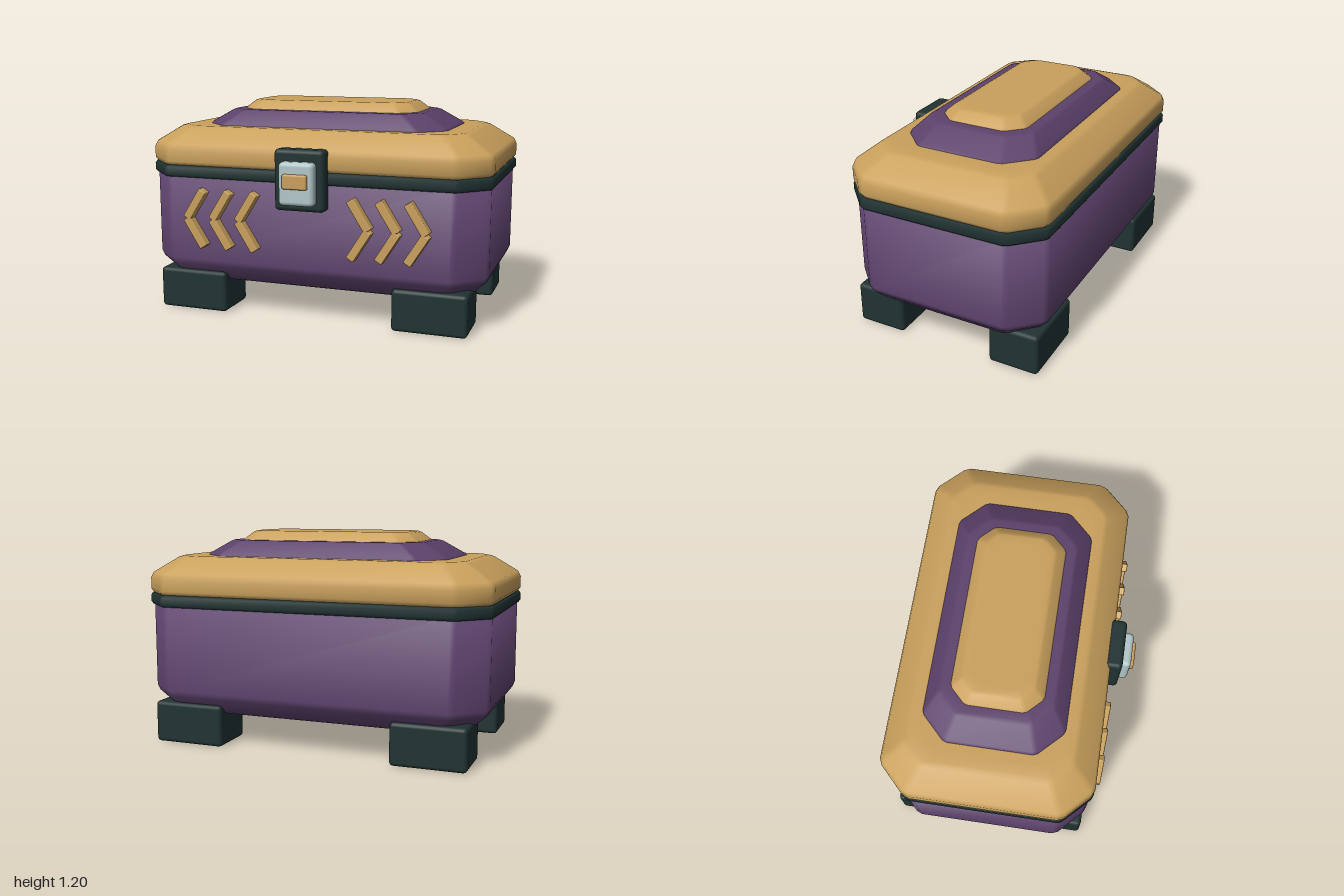
import * as THREE from 'three';
import { RoundedBoxGeometry } from 'three/addons/geometries/RoundedBoxGeometry.js';

const mat = (name, color) => {
  const m = new THREE.MeshStandardMaterial({ color });
  m.name = name;
  return m;
};

// Moves from point p towards q by at most d (and never past 40% of the way)
function towards(p, q, d) {
  const len = Math.hypot(...p.map((v, i) => q[i] - v));
  const t = Math.min(d / len, 0.4);
  return p.map((v, i) => v + (q[i] - v) * t);
}

// Octagonal outline in x/z with softened corners
function octagon(hx, hz, c, r) {
  const p = [
    [hx, c - hz], [hx, hz - c], [hx - c, hz], [c - hx, hz],
    [-hx, hz - c], [-hx, c - hz], [c - hx, -hz], [hx - c, -hz],
  ];
  return p.flatMap((q, i) => [towards(q, p[(i + 7) % 8], r), towards(q, p[(i + 1) % 8], r)]);
}

// Closed loft of octagons; profile rows are [y, insetX, insetZ] from bottom to top
function loft(hx, hz, chamfer, profile, bevel) {
  const rows = profile.flatMap((p, i) =>
    i === 0 || i === profile.length - 1
      ? [p]
      : [towards(p, profile[i - 1], bevel), towards(p, profile[i + 1], bevel)]);
  const pos = [], idx = [], n = 16;
  for (const [y, ix, iz] of rows) {
    const c = chamfer - 0.4 * Math.min(ix, iz);
    for (const [x, z] of octagon(hx - ix, hz - iz, c, bevel)) pos.push(x, y, z);
  }
  const last = (rows.length - 1) * n, bottom = rows.length * n, top = bottom + 1;
  pos.push(0, rows[0][0], 0, 0, rows[rows.length - 1][0], 0);
  for (let k = 0; k < n; k++) {
    const k2 = (k + 1) % n;
    for (let i = 0; i < last; i += n) {
      idx.push(i + k, i + n + k, i + k2, i + k2, i + n + k, i + n + k2);
    }
    idx.push(bottom, k, k2, top, last + k2, last + k);
  }
  const g = new THREE.BufferGeometry();
  g.setAttribute('position', new THREE.Float32BufferAttribute(pos, 3));
  g.setIndex(idx);
  g.computeVertexNormals();
  return g;
}

export function createModel() {
  const purple = mat('purple shell', 0x5c416b);
  const gold = mat('warm gold', 0xc9a05c);
  const dark = mat('dark green metal', 0x203332);
  const silver = mat('pale silver', 0xb2c7ca);

  const model = new THREE.Group();
  model.name = 'chest';
  const add = (parent, name, geometry, material, x = 0, y = 0, z = 0) => {
    const m = new THREE.Mesh(geometry, material);
    m.name = name;
    m.position.set(x, y, z);
    parent.add(m);
    return m;
  };
  const box = (w, h, d, r) => new RoundedBoxGeometry(w, h, d, 2, r);
  const midZ = -0.067;

  // Body, rim band and stepped lid
  add(model, 'body', loft(0.985, 0.567, 0.16,
    [[0.18, 0.2, 0.16], [0.18, 0.11, 0.08], [0.285, 0, 0], [0.8, 0, 0]], 0.02), purple, 0, 0, midZ);
  add(model, 'rimBand', loft(1, 0.578, 0.16,
    [[0.78, 0.06, 0.06], [0.78, 0, 0], [0.848, 0, 0], [0.848, 0.06, 0.06]], 0.014), dark, 0, 0, midZ);
  add(model, 'lid', loft(1, 0.578, 0.16,
    [[0.846, 0.06, 0.06], [0.846, 0, 0], [0.955, 0, 0], [1.06, 0.16, 0.13], [1.06, 0.24, 0.2]], 0.022),
  gold, 0, 0, midZ);
  add(model, 'lidPanel', loft(0.715, 0.382, 0.14,
    [[1.05, 0, 0], [1.065, 0, 0], [1.148, 0.14, 0.075], [1.148, 0.2, 0.14]], 0.015), purple, 0, 0, midZ);
  add(model, 'lidTopPlate', loft(0.525, 0.25, 0.09,
    [[1.14, 0, 0], [1.15, 0, 0], [1.2, 0.06, 0.055], [1.2, 0.11, 0.1]], 0.014), gold, 0, 0, midZ);

  // Four feet
  const footGeo = box(0.415, 0.235, 0.285, 0.022);
  for (const sx of [-1, 1]) {
    for (const sz of [-1, 1]) {
      add(model, (sz > 0 ? 'front' : 'back') + (sx > 0 ? 'Left' : 'Right') + 'Foot',
        footGeo, dark, sx * 0.6975, 0.1175, midZ + sz * 0.41);
    }
  }

  // Latch: back plate, silver plate and button
  const latch = new THREE.Group();
  latch.name = 'latch';
  model.add(latch);
  add(latch, 'latchPlate', box(0.285, 0.335, 0.095, 0.024), dark, 0, 0.808, 0.528);
  add(latch, 'latchFace', box(0.2, 0.235, 0.09, 0.024), silver, 0, 0.795, 0.58);
  add(latch, 'latchButton', box(0.14, 0.08, 0.05, 0.01), gold, 0, 0.811, 0.62);

  // Three chevrons on each side, pointing outwards
  const barGeo = box(0.19, 0.047, 0.06, 0.006);
  for (const side of [-1, 1]) {
    const group = new THREE.Group();
    group.name = side > 0 ? 'leftChevrons' : 'rightChevrons';
    model.add(group);
    for (let i = 0; i < 3; i++) {
      for (const up of [-1, 1]) {
        const bar = add(group, 'chevronBar', barGeo, gold,
          side * (0.327 + i * 0.157), 0.555 + up * 0.081, 0.522);
        bar.rotation.z = -side * up * 1.01;
      }
    }
  }
  return model;
}
